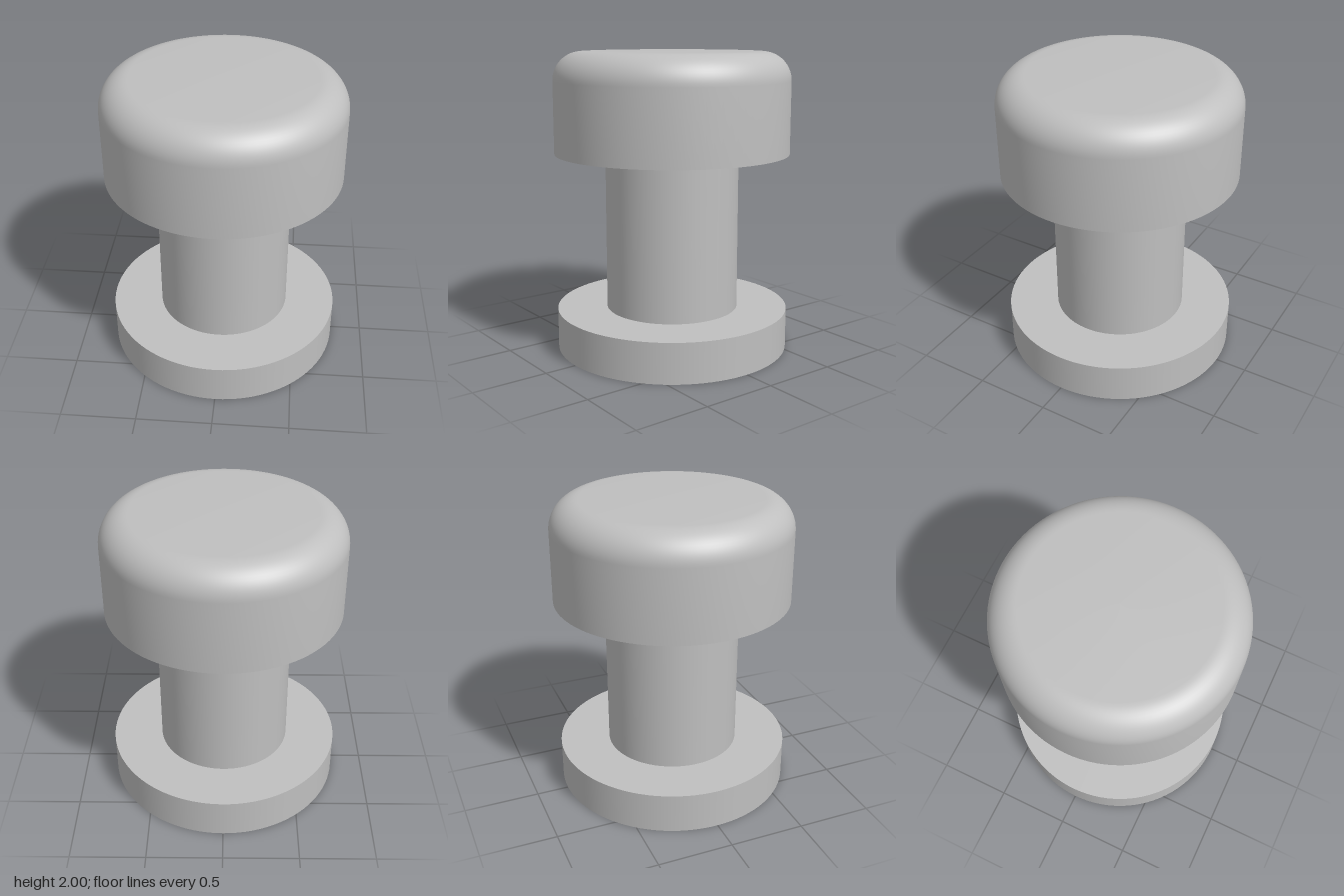
import * as THREE from 'three';
import { toCreasedNormals } from 'three/addons/utils/BufferGeometryUtils.js';

const SEGMENTS = 96;
const RADIUS = 0.785;
const STEM_RADIUS = 0.447;
const BASE_TOP = 0.27;
const CAP_BOTTOM = 1.33;
const HEIGHT = 2;
const FILLET = 0.19;

export function createModel() {
  const group = new THREE.Group();
  group.name = 'knob';
  const grey = new THREE.MeshStandardMaterial({ color: 0xbfbfbf });
  grey.name = 'plain grey';

  const add = (name, geometry, y = 0) => {
    const mesh = new THREE.Mesh(geometry, grey);
    mesh.name = name;
    mesh.position.y = y;
    group.add(mesh);
  };

  // Flat mounting disc
  add('base', new THREE.CylinderGeometry(RADIUS, RADIUS, BASE_TOP, SEGMENTS), BASE_TOP / 2);

  // Straight stem, its ends hidden by the base and cap
  const stemHeight = CAP_BOTTOM - BASE_TOP;
  add('stem', new THREE.CylinderGeometry(STEM_RADIUS, STEM_RADIUS, stemHeight, SEGMENTS, 1, true),
    BASE_TOP + stemHeight / 2);

  // Thick cap with a rounded upper rim
  const profile = [new THREE.Vector2(0, CAP_BOTTOM), new THREE.Vector2(RADIUS, CAP_BOTTOM)];
  const steps = 14;
  for (let i = 0; i <= steps; i++) {
    const a = (i / steps) * Math.PI / 2;
    profile.push(new THREE.Vector2(
      RADIUS - FILLET + FILLET * Math.cos(a),
      HEIGHT - FILLET + FILLET * Math.sin(a)));
  }
  profile.push(new THREE.Vector2(0, HEIGHT));
  add('cap', toCreasedNormals(new THREE.LatheGeometry(profile, SEGMENTS), 0.6));

  return group;
}
